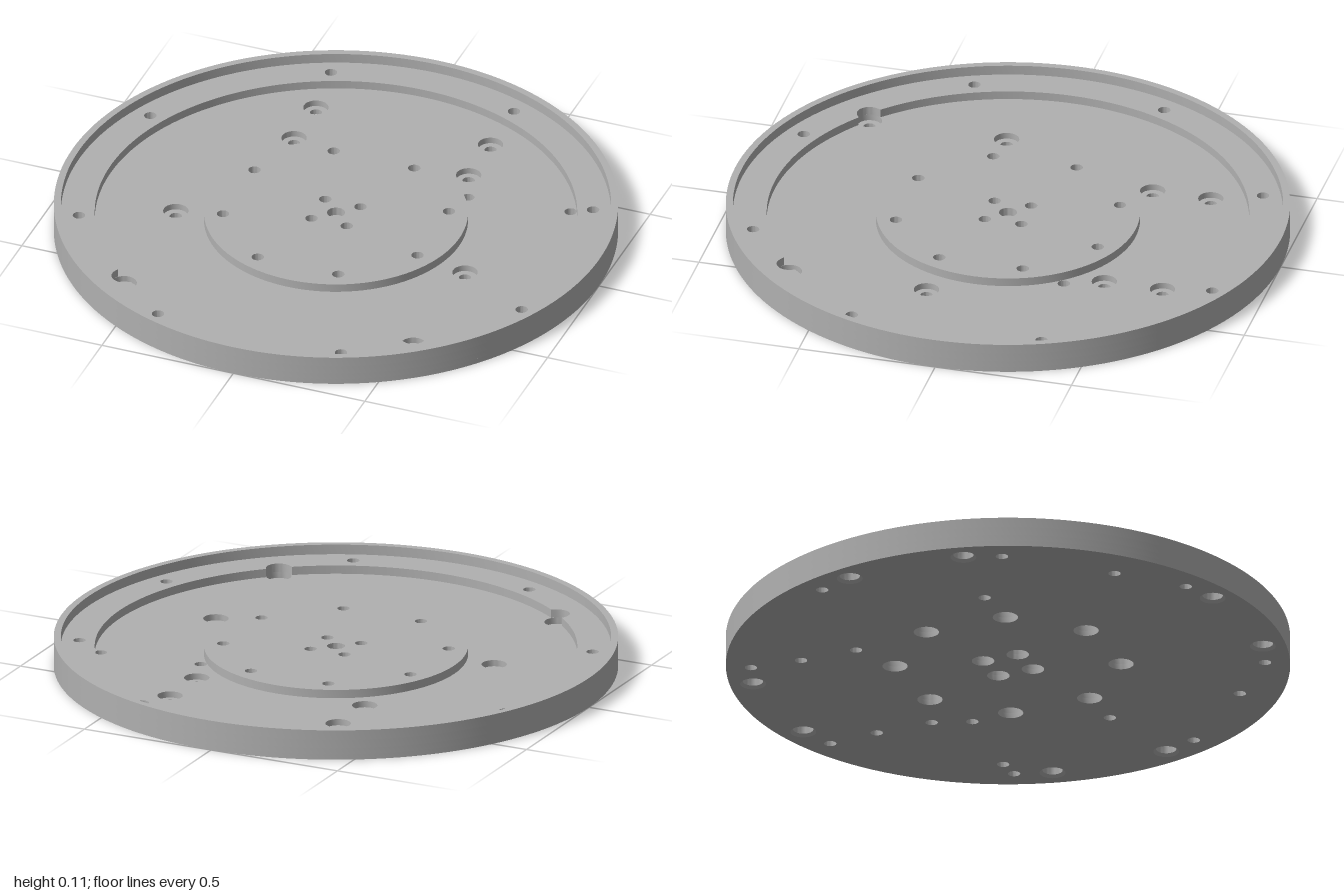
import * as THREE from 'three';
import { toCreasedNormals } from 'three/addons/utils/BufferGeometryUtils.js';

// Heights of the steps
const BORE = 0.02, FLOOR = 0.043, LEDGE = 0.074, TOP = 0.11;
const INNER = 0.855, RIM = 0.975;
const SMALL = 0.022, WIDE = 0.045;

// Points of a circle in plan; plan z is flipped so the extrusion can be laid flat
function circle(x, z, r, n = 28) {
  return Array.from({ length: n }, (_, i) => {
    const a = (i / n) * Math.PI * 2;
    return new THREE.Vector2(x + r * Math.cos(a), -z + r * Math.sin(a));
  });
}

const holesAt = (places, r) => places.map(([x, z]) => circle(x, z, r));

// Both mirrored positions
const pair = (x, z) => [[x, z], [-x, z]];

// Eight positions, mirrored about both axes and the diagonals
const eight = (a, b) => [...pair(a, b), ...pair(a, -b), ...pair(b, a), ...pair(b, -a)];

export function createModel() {
  const group = new THREE.Group();
  const grey = new THREE.MeshStandardMaterial({ color: 0xb0b0b0 });
  const greyInside = grey;
  greyInside.side = THREE.DoubleSide;

  // Flat plate between two heights
  function plate(name, outline, holes, y0, y1) {
    const shape = new THREE.Shape(outline);
    shape.holes = holes.map((points) => new THREE.Path(points));
    let geometry = new THREE.ExtrudeGeometry(shape, { depth: y1 - y0, bevelEnabled: false });
    geometry.rotateX(-Math.PI / 2);
    geometry.translate(0, y0, 0);
    geometry = toCreasedNormals(geometry, 0.6);
    const mesh = new THREE.Mesh(geometry, grey);
    mesh.name = name;
    group.add(mesh);
  }

  // Hole positions
  const ledgeHoles = eight(0.348, 0.842);
  const boltHoles = [...pair(0.332, -0.655), ...pair(0.332, -0.442), ...pair(0.55, 0.152), ...pair(0.55, 0.655)];
  const plainHoles = [[0.755, -0.352], [0.383, -0.307]];
  const hubHoles = eight(0.153, 0.37);
  const centreHoles = [...pair(0.067, 0.067), ...pair(0.067, -0.067)];
  const blindHoles = eight(0.22, 0.89);

  // Base: holes shared by both layers
  const shared = [
    ...holesAt([...ledgeHoles, ...plainHoles], SMALL),
    ...holesAt(hubHoles, WIDE),
    ...holesAt(centreHoles, 0.04),
    ...holesAt(blindHoles, 0.046),
  ];
  const disc = circle(0, 0, 1, 144);
  plate('baseLower', disc, [...shared, ...holesAt(boltHoles, SMALL)], 0, BORE);
  plate('baseUpper', disc, [...shared, ...holesAt(boltHoles, WIDE)], BORE, FLOOR);

  // Ledge ring, its inner edge notched by the two front bolt bores
  const c = Math.hypot(0.55, 0.655);
  const front = Math.atan2(-0.655, 0.55);
  const notched = Array.from({ length: 900 }, (_, i) => {
    const a = (i / 900) * Math.PI * 2;
    let r = INNER;
    for (const a0 of [front, Math.PI - front]) {
      const side = c * Math.sin(a - a0);
      if (Math.cos(a - a0) > 0 && Math.abs(side) < WIDE) {
        r = Math.max(r, c * Math.cos(a - a0) + Math.sqrt(WIDE * WIDE - side * side));
      }
    }
    return new THREE.Vector2(r * Math.cos(a), r * Math.sin(a));
  });
  plate('ledge', disc, [notched, ...holesAt(ledgeHoles, SMALL)], FLOOR, LEDGE);

  // Outer rim
  plate('rim', disc, [circle(0, 0, RIM, 144)], LEDGE, TOP);

  // Raised hub with a blind centre hole
  plate('hub', circle(0, 0, 0.468, 96),
    [...holesAt([...hubHoles, ...centreHoles], SMALL), circle(0, 0, 0.032)], FLOOR, LEDGE);

  // Chamfered linings of the blind holes underneath
  const profile = [[0.046, 0], [0.036, 0.01], [0.036, FLOOR]].map(([r, y]) => new THREE.Vector2(r, y));
  const lining = toCreasedNormals(new THREE.LatheGeometry(profile, 28), 0.6);
  for (const [x, z] of blindHoles) {
    const mesh = new THREE.Mesh(lining, greyInside);
    mesh.name = 'blindHoleLining';
    mesh.position.set(x, 0, z);
    group.add(mesh);
  }
  return group;
}
